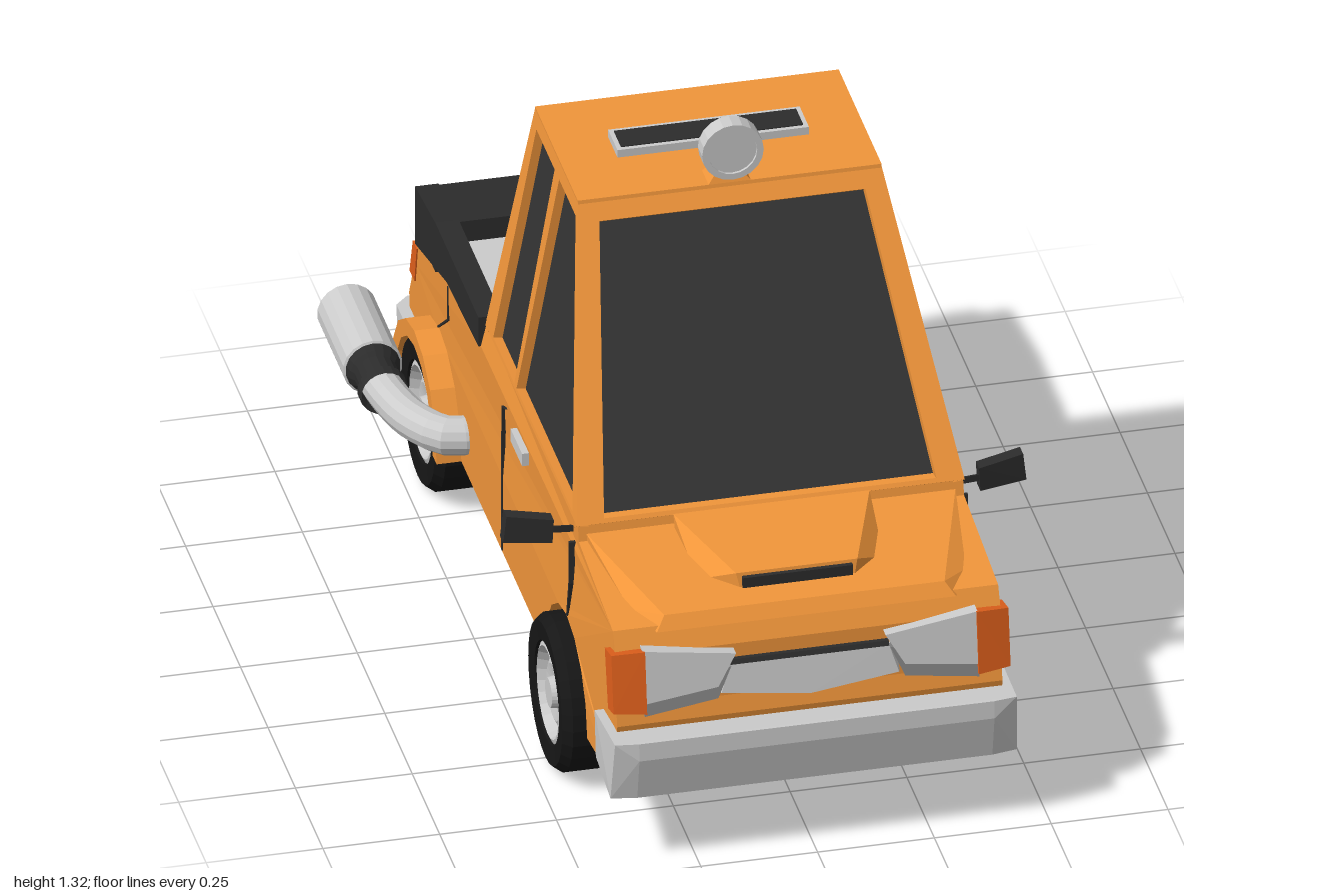
import * as THREE from 'three';
import { ConvexGeometry } from 'three/addons/geometries/ConvexGeometry.js';

const mat = (color) => new THREE.MeshStandardMaterial({ color, flatShading: true, side: THREE.DoubleSide });
const paint = mat(0xf0953a), glass = mat(0x333333), rubber = mat(0x161616), trim = mat(0x2c2c2c),
  metal = mat(0xcccccc), amber = mat(0xe0601c), steel = mat(0x888888);
const V = (p) => new THREE.Vector3(...p);

export function createModel() {
  const root = new THREE.Group();
  const add = (name, geo, m, parent = root) => {
    const mesh = new THREE.Mesh(geo, m);
    mesh.name = name;
    parent.add(mesh);
    return mesh;
  };
  const box = (name, m, x0, x1, y0, y1, z0, z1) =>
    add(name, new THREE.BoxGeometry(x1 - x0, y1 - y0, z1 - z0), m)
      .position.set((x0 + x1) / 2, (y0 + y1) / 2, (z0 + z1) / 2);
  // Convex solid from corner points; mirrored copies the points to -x as well
  const hull = (name, m, pts, sx = 1) => add(name, new ConvexGeometry(pts.map(([x, y, z]) => V([x * sx, y, z]))), m);
  const symHull = (name, m, pts) => add(name, new ConvexGeometry(pts.flatMap(([x, y, z]) => [V([x, y, z]), V([-x, y, z])])), m);
  // Side profile of [z, y] points extruded between x0 and x1
  const profile = (pts, x0, x1) => {
    const s = new THREE.Shape(pts.map(([z, y]) => new THREE.Vector2(z, y)));
    return new THREE.ExtrudeGeometry(s, { depth: x1 - x0, bevelEnabled: false }).rotateY(-Math.PI / 2).translate(x1, 0, 0);
  };
  const arc = (z, r, n = 8) => Array.from({ length: n + 1 }, (_, i) => {
    const a = Math.PI * (1 - i / n);
    return [z + r * Math.cos(a), 0.165 + r * Math.sin(a)];
  });
  const FZ = 0.52, RZ = -0.64;

  // Lower body with wheel arches, slightly narrower at the nose and the top
  const body = profile([[-0.9, 0.165], ...arc(RZ, 0.19), ...arc(FZ, 0.19), [0.9, 0.165], [0.93, 0.32], [0.92, 0.36],
    [0.915, 0.48], [0.89, 0.53], [0.58, 0.565], [0.57, 0.605], [-0.26, 0.605], [-0.26, 0.55], [-0.83, 0.5],
    [-0.86, 0.4], [-0.91, 0.3]], -0.425, 0.425);
  const bp = body.attributes.position;
  for (let i = 0; i < bp.count; i++) {
    const k = (bp.getY(i) > 0.56 ? 0.97 : 1) * (bp.getZ(i) > 0.85 ? 0.97 : 1);
    bp.setX(i, bp.getX(i) * k);
  }
  body.computeVertexNormals();
  add('body', body, paint);

  // Dark underside and wheel wells
  box('underside', rubber, -0.345, 0.345, 0.157, 0.4, -0.88, 0.88);
  for (const [a, b] of [[-0.9, -0.83], [-0.45, 0.33], [0.71, 0.9]]) box('sill', rubber, -0.415, 0.415, 0.157, 0.17, a, b);

  // Panel gaps running around the sides
  const gap = (pts) => add('panelGap', profile([...pts, ...pts.map(([z, y]) => [z - 0.008, y]).reverse()], -0.427, 0.427), trim);
  gap([[-0.03, 0.53], [-0.055, 0.52], [-0.058, 0.17]]);
  gap([[0.555, 0.55], [0.555, 0.45], [0.535, 0.36]]);
  gap([[-0.55, 0.52], [-0.55, 0.44], [-0.64, 0.37]]);

  // Cab: framed panels around dark glass; holes are quads in panel coordinates
  const corners = (sx) => ({
    fb: [0.415 * sx, 0.6, 0.575], ft: [0.325 * sx, 1.155, 0.2],
    rt: [0.325 * sx, 1.155, -0.19], rb: [0.415 * sx, 0.6, -0.26],
  });
  const L = corners(1), R = corners(-1);
  const panel = (name, quad, holes) => {
    const [bl, br, tr, tl] = quad.map(V);
    const poly = (C, q) => new C(q.map((p) => new THREE.Vector2(...p)));
    const s = poly(THREE.Shape, [[0, 0], [1, 0], [1, 1], [0, 1]]);
    s.holes = holes.map((h) => poly(THREE.Path, h));
    const g = new THREE.ExtrudeGeometry(s, { depth: 1, bevelEnabled: false });
    const n = br.clone().sub(bl).cross(tl.clone().sub(bl)).normalize();
    const p = g.attributes.position;
    for (let i = 0; i < p.count; i++) {
      const u = p.getX(i), v = p.getY(i);
      const q = bl.clone().lerp(br, u).lerp(tl.clone().lerp(tr, u), v).addScaledVector(n, (p.getZ(i) - 1) * 0.025);
      p.setXYZ(i, q.x, q.y, q.z);
    }
    g.computeVertexNormals();
    add(name, g, paint);
  };
  const wide = [[[0.07, 0.015], [0.93, 0.015], [0.93, 0.935], [0.07, 0.935]]];
  panel('windshieldFrame', [R.fb, L.fb, L.ft, R.ft], wide);
  panel('rearWindowFrame', [L.rb, R.rb, R.rt, L.rt], wide);
  const sideHoles = [
    [[0.05, 0.015], [0.665, 0.015], [0.41, 0.945], [0.05, 0.945]],
    [[0.69, 0.015], [0.92, 0.015], [0.91, 0.945], [0.51, 0.945]],
  ];
  panel('sideFrameLeft', [L.fb, L.rb, L.rt, L.ft], sideHoles);
  panel('sideFrameRight', [R.rb, R.fb, R.ft, R.rt],
    sideHoles.map((h) => h.map(([u, v]) => [1 - u, v]).reverse()));
  symHull('glass', glass, [[0.398, 0.58, 0.56], [0.308, 1.14, 0.183], [0.308, 1.14, -0.172], [0.398, 0.58, -0.242]]);
  symHull('roof', paint, [[0.325, 1.14, 0.205], [0.325, 1.16, 0.2], [0.325, 1.16, -0.19], [0.325, 1.14, -0.192]]);

  // Roof vent and spotlight
  box('roofVent', metal, -0.205, 0.205, 1.155, 1.178, -0.035, 0.05);
  box('roofVentSlot', trim, -0.195, 0.195, 1.17, 1.18, -0.025, 0.04);
  symHull('spotlightBase', paint, [[0.045, 1.16, 0.2], [0.045, 1.16, 0.14], [0.025, 1.185, 0.19], [0.025, 1.185, 0.15]]);
  box('spotlightStand', paint, -0.022, 0.022, 1.17, 1.25, 0.15, 0.168);
  box('spotlightArm', paint, -0.022, 0.022, 1.235, 1.25, 0.15, 0.2);
  const lamp = [[0, 0], [0.066, 0], [0.066, 0.04], [0.052, 0.04], [0.052, 0.034], [0, 0.034]].map((p) => new THREE.Vector2(...p));
  add('spotlight', new THREE.LatheGeometry(lamp, 20).rotateX(Math.PI / 2), metal).position.set(0, 1.25, 0.19);

  // Hood panel and scoop
  symHull('hoodPanel', paint, [[0.32, 0.52, 0.9], [0.3, 0.548, 0.88], [0.36, 0.535, 0.82], [0.395, 0.58, 0.575], [0.395, 0.55, 0.575]]);
  symHull('hoodScoop', paint, [[0.12, 0.54, 0.82], [0.13, 0.585, 0.81], [0.21, 0.605, 0.58], [0.21, 0.56, 0.6], [0.2, 0.545, 0.75]]);
  box('scoopOpening', trim, -0.118, 0.118, 0.55, 0.578, 0.77, 0.822);

  // Nose: grille, headlights and corner lamps
  symHull('grille', metal, [[0.19, 0.44, 0.9], [0.2, 0.37, 0.9], [0.17, 0.44, 0.925], [0.19, 0.375, 0.935], [0, 0.352, 0.94]]);
  symHull('grilleLip', trim, [[0.17, 0.44, 0.9], [0.17, 0.45, 0.9], [0.17, 0.438, 0.93], [0.17, 0.448, 0.925]]);
  for (const s of [1, -1]) {
    const layer = (pts, a, b) => [...pts.map(([x, y]) => [x, y, a]), ...pts.map(([x, y]) => [x, y, b - (y - 0.36) * 0.15])];
    hull('headlight', metal, layer([[0.16, 0.47], [0.358, 0.498], [0.358, 0.38], [0.2, 0.4]], 0.88, 0.955), s);
    hull('headlightTrim', steel, layer([[0.17, 0.44], [0.2, 0.4], [0.358, 0.38], [0.358, 0.35], [0.2, 0.372]], 0.88, 0.95), s);
    hull('cornerLamp', amber, [[0.355, 0.36, 0.96], [0.355, 0.5, 0.94], [0.425, 0.495, 0.93], [0.425, 0.365, 0.95],
      [0.425, 0.48, 0.87], [0.425, 0.35, 0.9], [0.355, 0.48, 0.87], [0.355, 0.35, 0.9]], s);
  }

  // Bumpers
  symHull('frontBumper', metal, [[0.43, 0.31, 0.985], [0.435, 0.17, 0.965], [0.435, 0.3, 0.82], [0.43, 0.18, 0.81],
    [0.38, 0.31, 0.992], [0.38, 0.27, 0.995], [0.38, 0.17, 0.975]]);
  symHull('rearBumper', metal, [[0.45, 0.265, -0.85], [0.45, 0.175, -0.85], [0.45, 0.265, -0.92], [0.45, 0.18, -0.91],
    [0.42, 0.265, -0.95], [0.42, 0.18, -0.94]]);

  // Cargo bed: floor, side rails and sloping tail sill
  box('bedFloor', metal, -0.385, 0.385, 0.5, 0.565, -0.68, -0.262);
  const rail = [[-0.258, 0.55], [-0.55, 0.535], [-0.835, 0.46], [-0.835, 0.6], [-0.65, 0.62], [-0.258, 0.62]].reverse();
  add('bedRail', profile(rail, 0.38, 0.43), trim);
  add('bedRail', profile(rail, -0.43, -0.38), trim);
  add('tailSill', profile([[-0.65, 0.5], [-0.65, 0.615], [-0.838, 0.595], [-0.838, 0.5]], -0.43, 0.43), trim);

  // Wheels: tyre and rim turned about the axle, outer face towards +y
  const turn = (pts, n) => new THREE.LatheGeometry(pts.map((p) => new THREE.Vector2(...p)), n);
  const tyre = turn([[0.1, -0.062], [0.155, -0.065], [0.17, -0.045], [0.17, 0.045], [0.155, 0.065], [0.112, 0.062], [0.105, 0.03]], 28);
  const rim = turn([[0, -0.05], [0.104, -0.05], [0.112, 0.055], [0.1, 0.06], [0.09, 0.035], [0.062, 0.048], [0.035, 0.042],
    [0.032, 0.058], [0, 0.058]], 24);
  const wheel = (name, x, y, z, rx, rz, k = 1) => {
    const g = new THREE.Group();
    g.name = name;
    add('tyre', tyre, rubber, g);
    add('rim', rim, metal, g);
    g.position.set(x, y, z);
    g.rotation.set(rx, 0, rz);
    g.scale.setScalar(k);
    root.add(g);
  };
  for (const s of [1, -1]) {
    wheel('frontWheel', 0.405 * s, 0.17, FZ, 0, -s * Math.PI / 2);
    wheel('rearWheel', 0.405 * s, 0.17, RZ, 0, -s * Math.PI / 2);
  }
  wheel('spareWheel', 0.01, 0.455, -0.895, -Math.PI / 2, 0, 1.16);

  // Paired side parts
  const pipe = (pts, r) => new THREE.TubeGeometry(new THREE.CatmullRomCurve3(pts.map(V)), 10, r, 14);
  for (const s of [1, -1]) {
    const fl = [...arc(RZ, 0.205), ...arc(RZ, 0.168).reverse()];
    add('rearFlare', profile(fl, s > 0 ? 0.4 : -0.478, s > 0 ? 0.478 : -0.4), paint);
    // Exhaust: bent pipe, dark clamp and hollow muffler
    add('exhaustPipe', pipe([[0.4 * s, 0.25, -0.4], [0.46 * s, 0.25, -0.405], [0.515 * s, 0.25, -0.48], [0.54 * s, 0.25, -0.57],
      [0.55 * s, 0.25, -0.64]], 0.042), metal);
    const clamp = turn([[0.05, 0.6], [0.053, 0.61], [0.053, 0.625], [0.046, 0.63], [0.046, 0.68], [0.053, 0.69], [0.06, 0.71]], 18);
    add('exhaustClamp', clamp.rotateX(-Math.PI / 2), trim).position.set(0.55 * s, 0.25, 0);
    const muffler = turn([[0.045, 0.7], [0.064, 0.71], [0.064, 0.945], [0.05, 0.945], [0.05, 0.75]], 18);
    add('muffler', muffler.rotateX(-Math.PI / 2), metal).position.set(0.55 * s, 0.25, 0);
    add('mufflerCore', new THREE.CircleGeometry(0.052, 18), rubber).position.set(0.55 * s, 0.25, -0.76);
    // Door mirror
    hull('mirrorArm', trim, [[0.4, 0.56, 0.53], [0.4, 0.575, 0.53], [0.4, 0.565, 0.51], [0.47, 0.565, 0.53], [0.47, 0.58, 0.53], [0.47, 0.57, 0.51]], s);
    hull('mirror', trim, [0, 0.03].flatMap((d) => [[0.458, 0.542, 0.535 - d], [0.455, 0.597, 0.535 - d], [0.56, 0.547, 0.52 - d], [0.553, 0.61, 0.52 - d]]), s);
    hull('mirrorGlass', metal, [0, 0.004].flatMap((d) => [[0.47, 0.552, 0.503 - d], [0.467, 0.59, 0.503 - d], [0.55, 0.556, 0.49 - d], [0.545, 0.6, 0.49 - d]]), s);
    box('doorHandle', metal, s > 0 ? 0.42 : -0.435, s > 0 ? 0.435 : -0.42, 0.505, 0.535, 0.055, 0.16);
    // Tail lamps
    const tail = (name, m, a, b) => hull(name, m, [a, b].flatMap((x) => [[x, 0.45, -0.83], [x, 0.36, -0.85], [x, 0.45, -0.865], [x, 0.36, -0.895]]), s);
    tail('tailLamp', metal, 0.2, 0.345);
    tail('tailLampCorner', amber, 0.345, 0.428);
  }

  // Small tailpipe
  add('tailpipe', turn([[0.026, 0.88], [0.026, 1], [0.018, 1], [0.018, 0.94], [0, 0.94]], 12).rotateX(-Math.PI / 2), metal)
    .position.set(-0.375, 0.225, 0);
  return root;
}
